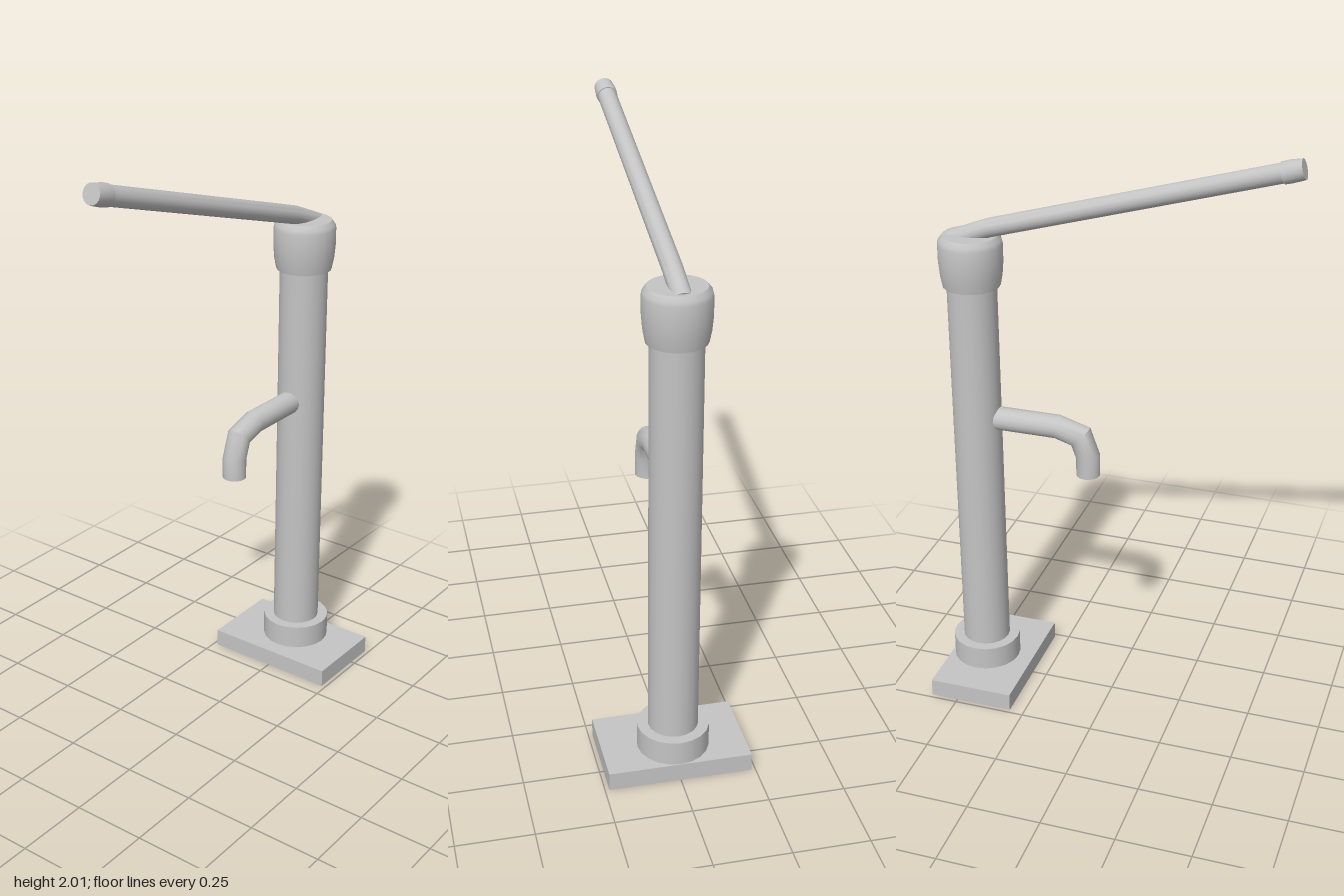
import * as THREE from 'three';
import { toCreasedNormals } from 'three/addons/utils/BufferGeometryUtils.js';

const SIDES = 20;
const COLUMN_X = 0.475;

// Mitred round pipe along a polyline in the xy plane, with capped ends
function pipe(points, radii, sides) {
  const pts = points.map(([x, y]) => new THREE.Vector2(x, y));
  const pos = [], index = [];
  pts.forEach((p, i) => {
    const d0 = pts[i].clone().sub(pts[Math.max(i - 1, 0)]).normalize();
    const d1 = pts[Math.min(i + 1, pts.length - 1)].clone().sub(p).normalize();
    const d = d0.clone().add(d1).normalize();
    const miter = 1 / Math.max(d.dot(i ? d0 : d1), 0.5);
    for (let k = 0; k < sides; k++) {
      const a = (k / sides) * Math.PI * 2;
      const u = Math.cos(a) * radii[i] * miter;
      pos.push(p.x - d.y * u, p.y + d.x * u, Math.sin(a) * radii[i]);
    }
  });
  for (let i = 0; i < pts.length - 1; i++) {
    for (let k = 0; k < sides; k++) {
      const a = i * sides + k, b = i * sides + (k + 1) % sides;
      index.push(a, a + sides, b, b, a + sides, b + sides);
    }
  }
  const last = (pts.length - 1) * sides;
  for (let k = 1; k < sides - 1; k++) {
    index.push(0, k, k + 1, last, last + k + 1, last + k);
  }
  const geo = new THREE.BufferGeometry();
  geo.setAttribute('position', new THREE.Float32BufferAttribute(pos, 3));
  geo.setIndex(index);
  return toCreasedNormals(geo, 0.75);
}

export function createModel() {
  const group = new THREE.Group();
  const metal = new THREE.MeshStandardMaterial({ color: 0xc4c4c4, side: THREE.DoubleSide });
  metal.name = 'grey metal';

  const add = (name, geo, x = 0, y = 0) => {
    const mesh = new THREE.Mesh(geo, metal);
    mesh.name = name;
    mesh.position.set(x, y, 0);
    group.add(mesh);
  };
  const drum = (name, r, y0, y1) =>
    add(name, new THREE.CylinderGeometry(r, r, y1 - y0, SIDES), COLUMN_X, (y0 + y1) / 2);

  // Base, collar and column
  add('basePlate', new THREE.BoxGeometry(0.294, 0.062, 0.472), 0.448, 0.031);
  drum('baseCollar', 0.118, 0.062, 0.145);
  drum('column', 0.082, 0.145, 1.5);

  // Rounded head on top of the column
  const profile = [[0, 1.49], [0.094, 1.49], [0.101, 1.525], [0.105, 1.57],
    [0.105, 1.632], [0.102, 1.645], [0.09, 1.66], [0, 1.66]];
  const head = new THREE.LatheGeometry(profile.map(([r, y]) => new THREE.Vector2(r, y)), SIDES);
  add('head', toCreasedNormals(head, 0.6), COLUMN_X);

  // Spout bending down
  add('spout', pipe([[0.42, 1.02], [0.19, 1.02], [0.108, 0.995], [0.083, 0.925], [0.083, 0.857]],
    [0.04, 0.04, 0.04, 0.04, 0.04], 16));

  // Lever arm sinking into the head, with a thicker grip at its end
  add('handle', pipe([[-0.53, 1.959], [0.41, 1.689], [0.54, 1.637]], [0.031, 0.031, 0.031], 16));
  add('grip', pipe([[-0.587, 1.9745], [-0.547, 1.964], [-0.525, 1.9575]], [0.032, 0.035, 0.034], 16));

  return group;
}
